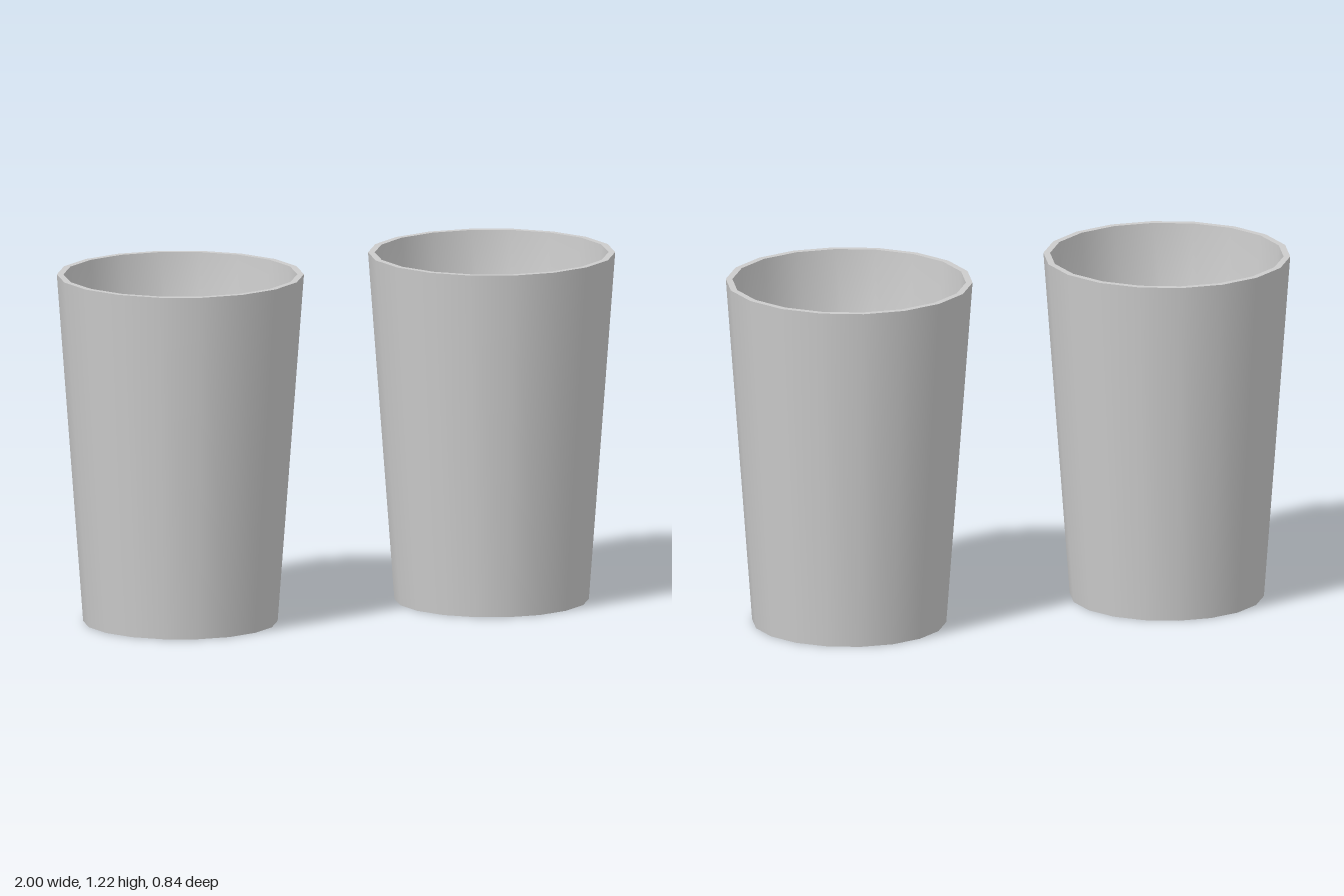
import * as THREE from 'three';
import { mergeGeometries } from 'three/addons/utils/BufferGeometryUtils.js';

const SIDES = 18;
const HEIGHT = 1.22;
const FLOOR = 0.04;
const R_TOP = 0.427, R_BASE = 0.336;
const R_TOP_IN = 0.404, R_FLOOR_IN = 0.315;

// Revolve a profile, with a corner of the polygon on the x axis
function turned(profile) {
  const points = profile.map(([r, y]) => new THREE.Vector2(r, y));
  return new THREE.LatheGeometry(points, SIDES, Math.PI / 2);
}

export function createModel() {
  const model = new THREE.Group();
  model.name = 'pairOfCups';
  const material = new THREE.MeshStandardMaterial({ color: 0xcccccc });

  // Separate profiles keep the rim and base edges sharp
  const cupGeometry = mergeGeometries([
    turned([[0, 0], [R_BASE, 0]]),                                  // underside
    turned([[R_BASE, 0], [R_TOP, HEIGHT]]),                         // outer wall
    turned([[R_TOP, HEIGHT], [R_TOP_IN, HEIGHT]]),                  // rim
    turned([[R_TOP_IN, HEIGHT], [R_FLOOR_IN, FLOOR], [0, FLOOR]]),  // inner wall blending into floor
  ]);

  for (const [name, side] of [['leftCup', 1], ['rightCup', -1]]) {
    const cup = new THREE.Mesh(cupGeometry, material);
    cup.name = name;
    cup.position.x = side * (1 - R_TOP);
    model.add(cup);
  }
  return model;
}
